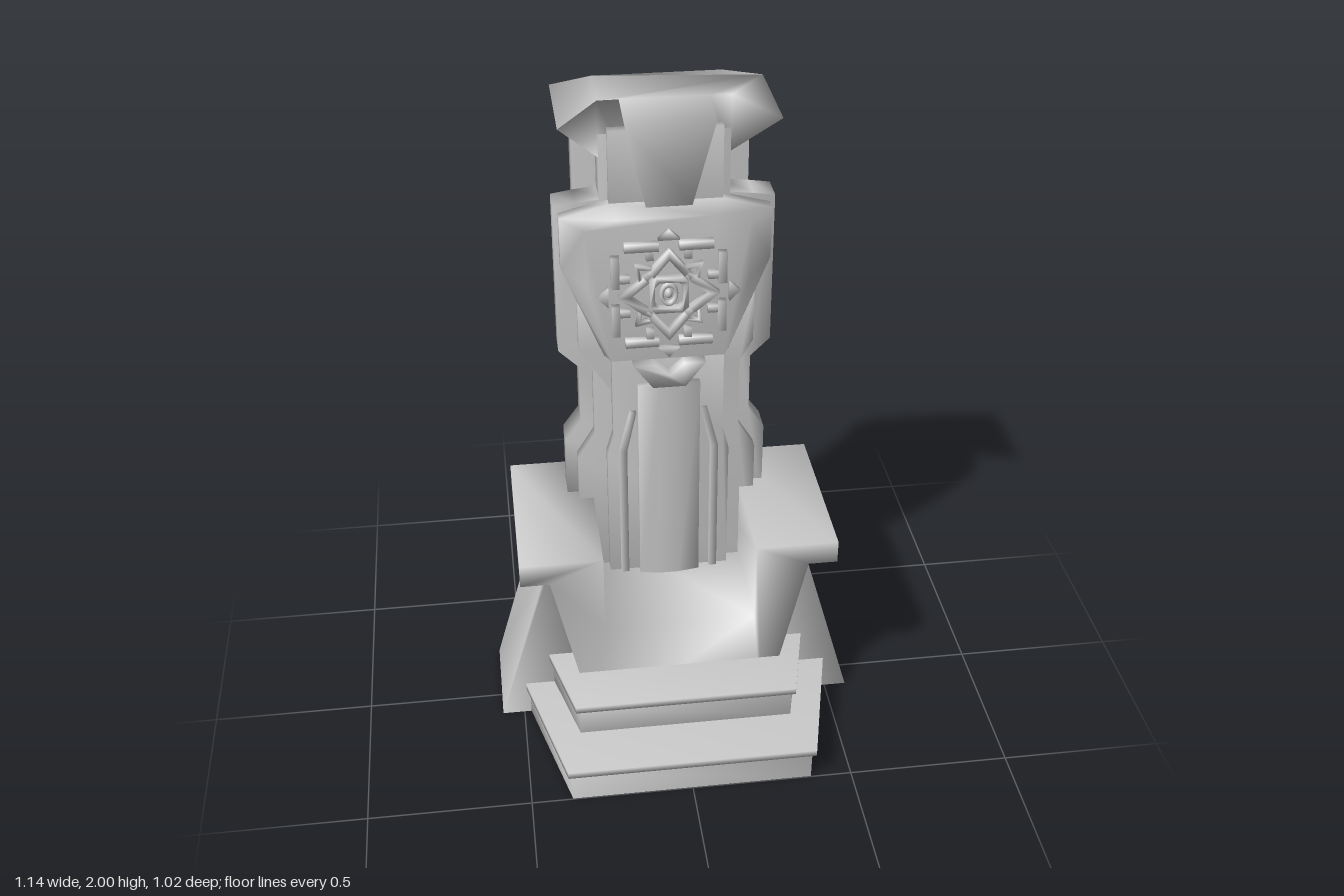
import * as THREE from 'three';
import { ConvexGeometry } from 'three/addons/geometries/ConvexGeometry.js';
import { mergeVertices } from 'three/addons/utils/BufferGeometryUtils.js';

const material = new THREE.MeshStandardMaterial({ color: 0xcccccc, side: THREE.DoubleSide });

// Shares corners for soft shading and leaves the underside at ground level open
function soften(geometry) {
  const g = mergeVertices(new THREE.BufferGeometry()
    .setAttribute('position', geometry.attributes.position).setIndex(geometry.index), 1e-4);
  const p = g.attributes.position;
  const kept = [];
  for (let i = 0; i < g.index.count; i += 3) {
    const tri = [0, 1, 2].map((k) => g.index.getX(i + k));
    if (tri.some((v) => p.getY(v) > 0.001)) kept.push(...tri);
  }
  g.setIndex(kept);
  g.computeVertexNormals();
  return g;
}

function add(parent, name, geometry) {
  const mesh = new THREE.Mesh(geometry, material);
  mesh.name = name;
  parent.add(mesh);
}
const addSoft = (parent, name, geometry) => add(parent, name, soften(geometry));

const shapeOf = (pts) => new THREE.Shape(pts.map(([x, y]) => new THREE.Vector2(x, y)));

// Right half outline closed by its mirror image
const mirrored = (half) => [...half, ...half.map(([x, y]) => [-x, y]).reverse()];

// Outline in x/y pushed from z0 to z1
function slab(pts, z0, z1, hole) {
  const shape = shapeOf(pts);
  if (hole) shape.holes.push(shapeOf(hole));
  return new THREE.ExtrudeGeometry(shape, { depth: z1 - z0, bevelEnabled: false }).translate(0, 0, z0);
}

// Outline in x/z pushed from y0 to y1
function plate(pts, y0, y1, hole) {
  const flip = (p) => p && p.map(([x, z]) => [x, -z]);
  return slab(flip(pts), y0, y1, flip(hole)).rotateX(-Math.PI / 2);
}

// Moves every vertex by a rule
function warp(geometry, rule) {
  const p = geometry.attributes.position;
  for (let i = 0; i < p.count; i++) p.setXYZ(i, ...rule(p.getX(i), p.getY(i), p.getZ(i)));
  return geometry;
}

const hull = (pts) => new ConvexGeometry(pts.map((p) => new THREE.Vector3(...p)));
const rect = (x0, y0, x1, y1) => [[x0, y0], [x1, y0], [x1, y1], [x0, y1]];

function addSteps(root) {
  const steps = new THREE.Group();
  steps.name = 'steps';
  // front z, front half width, bottom, top
  for (const [zf, w, y0, y1] of [[0.51, 0.385, 0, 0.12], [0.35, 0.345, 0.12, 0.235]]) {
    const outline = (inset) => mirrored([
      [w + (zf - 0.06) * 0.25 - inset, 0.06 + (inset > 0.03 ? 0.02 : 0)],
      [w - inset, zf - inset],
    ]);
    addSoft(steps, 'stepRiser', plate(outline(0.012), y0, y1 - 0.02, outline(0.035)));
    addSoft(steps, 'stepTread', plate(outline(0), y1 - 0.022, y1));
  }
  root.add(steps);
}

function addSeat(root) {
  // Seat and armrests share one U-shaped section
  addSoft(root, 'seatAndArmrests', slab(mirrored([
    [0.27, 0], [0.40, 0.6], [0.49, 0.6], [0.49, 0.675], [0.235, 0.675], [0.235, 0.41],
  ]), -0.355, 0.19));
  for (const s of [1, -1]) {
    addSoft(root, 'sideButtress', slab(
      [[0.39, 0.6], [0.40, 0.6], [0.57, 0], [0.27, 0]].map(([x, y]) => [x * s, y]), -0.225, 0.09));
  }
}

function addBackrest(root) {
  const back = new THREE.Group();
  back.name = 'backrest';
  root.add(back);

  // Rear spine, flaring backwards and narrowing towards the foot
  const profile = [[0.34, 0], [0.51, 0], [0.418, 0.66], [0.418, 1.92], [0.34, 1.92]];
  addSoft(back, 'spine', warp(slab(profile, -1, 1).rotateY(Math.PI / 2),
    (x, y, z) => [x * (y < 1 ? 0.175 : 0.195), y, z]));

  // Column built up in layers from back to front
  addSoft(back, 'wideColumn', slab(mirrored([[0.26, 0], [0.26, 1.92]]), -0.355, -0.27));
  addSoft(back, 'core', slab(mirrored([[0.19, 0.3], [0.19, 1.9]]), -0.3, -0.17));
  addSoft(back, 'neckPanel', slab(mirrored([[0.165, 1.6], [0.165, 1.92]]), -0.2, -0.14));
  addSoft(back, 'sideProfile', slab(mirrored([
    [0.315, 0.6], [0.315, 0.875], [0.265, 0.945], [0.265, 1.14], [0.325, 1.2],
    [0.325, 1.68], [0.26, 1.69], [0.17, 1.70],
  ]), -0.27, -0.18));
  addSoft(back, 'sidePilasters', slab(mirrored([
    [0.28, 0.41], [0.28, 0.83], [0.225, 0.92], [0.225, 1.15], [0.265, 1.22], [0.265, 1.4],
  ]), -0.2, -0.14));
  addSoft(back, 'frontLayer', slab(mirrored([
    [0.19, 0.41], [0.19, 0.86], [0.17, 0.93], [0.17, 1.21],
  ]), -0.16, -0.1));

  // Bent ribs beside the central panel
  for (const s of [1, -1]) {
    const rib = [[0.13, 0.41], [0.155, 0.41], [0.155, 0.88], [0.12, 1.02], [0.1, 1.02], [0.13, 0.88]];
    addSoft(back, 'rib', slab(rib.map(([x, y]) => [x * s, y]), -0.14, -0.085));
  }

  // Central panel with a slight ridge and a forked head
  addSoft(back, 'centralPanel', hull(mirrored([[0.095, 0.41], [0.095, 1.12]])
    .flatMap(([x, y]) => [[x, y, -0.13], [x, y, -0.075], [x * 0.3, y, -0.064]])));
  addSoft(back, 'forkedHead', slab([
    [0.05, 1.12], [0.11, 1.2], [0.045, 1.2], [0, 1.16], [-0.045, 1.2], [-0.11, 1.2], [-0.05, 1.12],
  ], -0.13, -0.062));

  // Bevelled shield behind the emblem
  const rim = mirrored([[0.19, 1.2], [0.31, 1.5], [0.31, 1.66], [0.16, 1.70]]);
  const face = mirrored([[0.17, 1.205], [0.24, 1.46], [0.24, 1.64], [0.14, 1.67]]);
  addSoft(back, 'shield', hull([
    ...rim.map(([x, y]) => [x, y, -0.2]), ...rim.map(([x, y]) => [x, y, -0.14]),
    ...face.map(([x, y]) => [x, y, -0.09]),
  ]));
}

// One roof with pointed wings and a visor hanging from its middle
function addCanopy(root) {
  const outline = mirrored([
    [0.19, -0.357], [0.31, -0.355], [0.31, -0.03], [0.19, -0.17], [0.128, -0.171], [0.128, -0.03],
  ]);
  addSoft(root, 'canopy', warp(plate(outline, 0, 1), (x, y, z) => {
    const ax = Math.abs(x);
    if (ax > 0.3) return [x, 1.98, z];
    if (y > 0.5) return [x, z > -0.1 ? 1.985 : 2, z];
    if (ax > 0.15) return [x, 1.83, z];
    return [x * 0.52, 1.715, z > -0.1 ? -0.07 : z];
  }));
}

function addEmblem(root) {
  const emblem = new THREE.Group();
  emblem.name = 'emblem';
  emblem.position.set(0, 1.43, -0.095);
  root.add(emblem);

  // Soft edged ornament, shaded before it is lifted into place
  const relief = (parent, name, pts, depth, hole) =>
    add(parent, name, soften(slab(pts, 0, depth, hole).translate(0, 1, 0)).translate(0, -1, 0));

  // Four-fold ornament: outer points, corner brackets and star points
  for (let i = 0; i < 4; i++) {
    const arm = new THREE.Group();
    arm.name = 'emblemArm';
    arm.rotation.z = i * Math.PI / 2;
    emblem.add(arm);
    relief(arm, 'outerPoint', [[-0.032, 0.178], [0.032, 0.178], [0, 0.21]], 0.025);
    relief(arm, 'starPoint', [[-0.06, 0.075], [-0.045, 0.06], [0, 0.115], [0.045, 0.06], [0.06, 0.075], [0, 0.15]], 0.03);
    relief(arm, 'starCorner', [[0.03, 0.085], [0.085, 0.03], [0.1, 0.1]], 0.025,
      [[0.055, 0.08], [0.08, 0.055], [0.087, 0.087]]);
    for (const s of [1, -1]) {
      relief(arm, 'bracketBar', rect(s * 0.03, 0.145, s * 0.13, 0.17), 0.028);
      relief(arm, 'bracketPost', rect(s * 0.045, 0.115, s * 0.067, 0.15), 0.025);
    }
  }

  // Centre boss: chamfered square frame with an oval ring and bead
  const square = (r, c) => mirrored([[r - c, -r], [r, -r + c], [r, r - c], [r - c, r]]);
  relief(emblem, 'bossFrame', square(0.058, 0.018), 0.028, square(0.042, 0.014));
  add(emblem, 'bossRing', new THREE.TorusGeometry(0.024, 0.007, 8, 20).scale(0.9, 1.3, 1.5).translate(0, 0, 0.015));
  add(emblem, 'bossBead', new THREE.SphereGeometry(0.012, 12, 8).scale(1, 1.3, 1).translate(0, 0, 0.012));
}

export function createModel() {
  const model = new THREE.Group();
  model.name = 'throne';
  addSteps(model);
  addSeat(model);
  addBackrest(model);
  addCanopy(model);
  addEmblem(model);
  return model;
}
